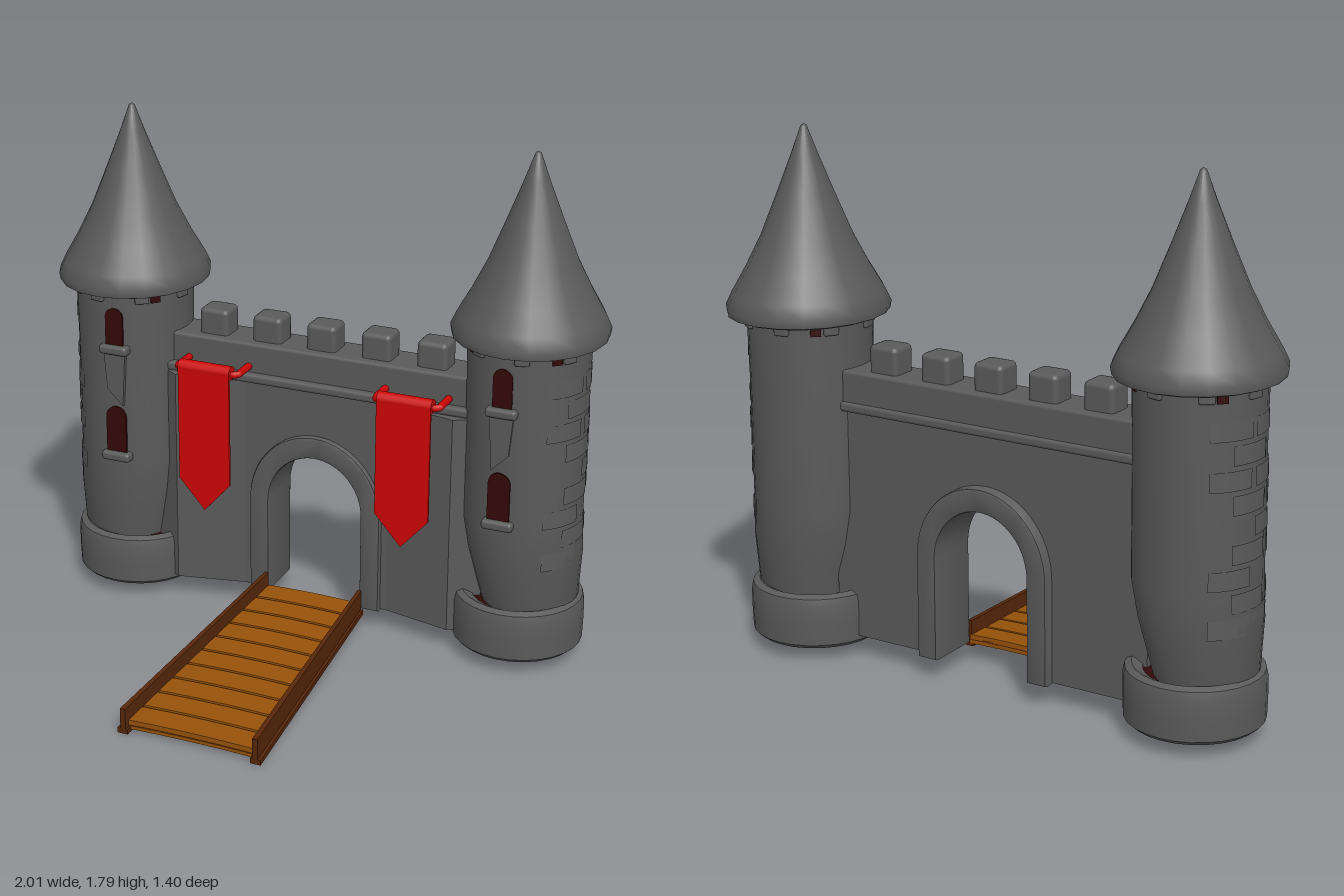
import * as THREE from 'three';
import { toCreasedNormals } from 'three/addons/utils/BufferGeometryUtils.js';
import { RoundedBoxGeometry } from 'three/addons/geometries/RoundedBoxGeometry.js';

const material = (name, color, side = THREE.FrontSide) => {
  const m = new THREE.MeshStandardMaterial({ color, side });
  m.name = name;
  return m;
};

export function createModel() {
  const stone = material('stone grey', 0x5a5a5a, THREE.DoubleSide);
  const red = material('banner red', 0xcc0606, THREE.DoubleSide);
  const wood = material('plank brown', 0x96520a);
  const darkWood = material('rail brown', 0x56260a);
  const dark = material('window maroon', 0x330808, THREE.DoubleSide);

  const castle = new THREE.Group();
  castle.name = 'castleGate';

  const add = (parent, name, geometry, mat, x = 0, y = 0, z = 0) => {
    const mesh = new THREE.Mesh(geometry, mat);
    mesh.name = name;
    mesh.position.set(x, y, z);
    parent.add(mesh);
    return mesh;
  };
  const block = (w, h, d, r = 0.012) => new RoundedBoxGeometry(w, h, d, 2, r);
  const lathe = (pts, n) =>
    toCreasedNormals(new THREE.LatheGeometry(pts.map(p => new THREE.Vector2(...p)), n), 0.7);
  const polygon = (pts, sx = 1) => new THREE.Shape(pts.map(p => new THREE.Vector2(p[0] * sx, p[1])));
  const extrude = (shape, depth, bevel = 0) => toCreasedNormals(new THREE.ExtrudeGeometry(shape, {
    depth, curveSegments: 16, bevelEnabled: bevel > 0,
    bevelSize: bevel, bevelThickness: bevel, bevelSegments: 2,
  }), 0.6);

  // ---- Towers ----
  for (const s of [-1, 1]) {
    const tower = new THREE.Group();
    tower.name = s < 0 ? 'rightTower' : 'leftTower';
    tower.position.set(s * 0.738, 0, -0.41);
    castle.add(tower);

    // Body narrows toward the base on its inner side, the outer side stays upright
    const body = lathe([
      [0.165, 0.2], [0.178, 0.28], [0.198, 0.4], [0.206, 0.52], [0.206, 0.95], [0.21, 1.2],
    ], 28);
    const pos = body.attributes.position;
    for (let i = 0; i < pos.count; i++)
      pos.setX(i, pos.getX(i) + s * 0.12 * Math.max(0, 0.52 - pos.getY(i)));
    add(tower, 'towerBody', body, stone);

    add(tower, 'towerBase', lathe([
      [0.165, 0.22], [0.165, 0.07], [0.18, 0.05], [0.21, 0.05], [0.226, 0.065],
      [0.228, 0.13], [0.228, 0.2], [0.222, 0.228], [0.2, 0.238], [0.165, 0.22],
    ], 28), stone, s * -0.002);
    add(tower, 'towerFloor', new THREE.CircleGeometry(0.168, 24).rotateX(Math.PI / 2), dark, 0, 0.21, 0);

    // Flared conical roof
    const roof = add(tower, 'towerRoof', lathe([
      [0, 1.185], [0.2, 1.18], [0.245, 1.168], [0.262, 1.175], [0.266, 1.2], [0.245, 1.245],
      [0.2, 1.325], [0.148, 1.43], [0.09, 1.575], [0.042, 1.7], [0.01, 1.79], [0, 1.797],
    ], 20), stone, 0, 0, -0.004);
    roof.scale.z = 1.08;

    // Corbels all round below the eave, with four dark slots between them
    for (let i = 0; i < 8; i++) {
      const a = s * (0.2 + i * Math.PI / 4);
      const corbel = add(tower, 'eaveCorbel', block(0.05, 0.05, 0.026, 0.006), stone,
        Math.sin(a) * 0.207, 1.158, Math.cos(a) * 0.207);
      corbel.rotation.y = a;
    }
    for (const a of [-0.82, 0.76, 2.33, -2.4]) {
      const slot = add(tower, 'eaveSlot', new THREE.BoxGeometry(0.035, 0.045, 0.008), dark,
        s * Math.sin(a) * 0.209, 1.155, Math.cos(a) * 0.209);
      slot.rotation.y = s * a;
    }

    // Slightly raised bricks on the outer side
    for (let row = 0; row < 9; row++) {
      for (let k = 0; k < 2; k++) {
        if ((row + k * 2) % 5 === 4) continue;
        const mid = s * Math.PI / 2 + (k - 0.5) * 0.8 + (row % 2 ? 0.18 : -0.18);
        add(tower, 'wallBrick', new THREE.CylinderGeometry(0.2095, 0.2105, 0.062, 8, 1, true,
          mid - 0.35, 0.7), stone, 0, 0.42 + row * 0.078, 0);
      }
    }

    // Arched windows with sills
    for (const [sill, height, half] of [[0.555, 0.175, 0.039], [0.96, 0.14, 0.034]]) {
      const pane = new THREE.Shape();
      pane.moveTo(-half, 0);
      pane.lineTo(half, 0);
      pane.lineTo(half, height - half);
      pane.absarc(0, height - half, half, 0, Math.PI);
      pane.closePath();
      add(tower, 'window', extrude(pane, 0.008), dark, s * -0.02, sill + 0.013, 0.202);
      add(tower, 'windowSill', block(0.11, 0.034, 0.045), stone, s * -0.02, sill, 0.207);
    }
    // Tapering bracket below the upper sill
    add(tower, 'windowBracket',
      extrude(polygon([[-0.042, 0.2], [0.042, 0.2], [0.03, 0.06], [-0.03, 0], [-0.036, 0.1]], s), 0.014),
      stone, s * -0.02, 0.75, 0.198);
  }

  // ---- Gate wall ----
  const wallShape = new THREE.Shape();
  wallShape.moveTo(-0.6, 0.08);
  wallShape.lineTo(-0.18, 0.08);
  wallShape.lineTo(-0.18, 0.43);
  wallShape.absellipse(0, 0.43, 0.18, 0.195, Math.PI, 0, true, 0);
  wallShape.lineTo(0.18, 0.08);
  wallShape.lineTo(0.6, 0.08);
  wallShape.lineTo(0.6, 0.9);
  wallShape.lineTo(-0.6, 0.9);
  wallShape.closePath();
  add(castle, 'gateWall', extrude(wallShape, 0.14), stone, 0, 0, -0.475);

  // Arch surround showing on both faces
  const surround = new THREE.Shape();
  surround.moveTo(-0.24, 0.085);
  surround.lineTo(-0.185, 0.085);
  surround.lineTo(-0.185, 0.43);
  surround.absellipse(0, 0.43, 0.185, 0.2, Math.PI, 0, true, 0);
  surround.lineTo(0.185, 0.085);
  surround.lineTo(0.24, 0.085);
  surround.lineTo(0.24, 0.43);
  surround.absellipse(0, 0.43, 0.24, 0.262, 0, Math.PI, false, 0);
  surround.closePath();
  add(castle, 'archSurround', extrude(surround, 0.185, 0.009), stone, 0, 0, -0.507);

  // Parapet, ledge and merlons
  add(castle, 'parapet', block(1.16, 0.13, 0.16), stone, 0, 0.945, -0.41);
  add(castle, 'wallLedge', block(1.16, 0.034, 0.195), stone, 0, 0.887, -0.403);
  for (let i = -2; i <= 2; i++)
    add(castle, 'merlon', block(0.11, 0.13, 0.1, 0.018), stone, i * 0.204, 1.037, -0.412);

  // Wall thickening toward the towers
  for (const s of [-1, 1])
    add(castle, 'wallFillet',
      extrude(polygon([[0.25, 0.34], [0.52, 0.28], [0.62, 0.34]], s), 0.79).rotateX(-Math.PI / 2),
      stone, 0, 0.08, 0);

  // ---- Banners ----
  for (const s of [-1, 1]) {
    const banner = new THREE.Group();
    banner.name = s < 0 ? 'rightBanner' : 'leftBanner';
    banner.position.set(s * 0.372, 0, -0.225);
    castle.add(banner);
    const cloth = polygon([[-0.098, 0.935], [-0.098, 0.515], [0, 0.405], [0.098, 0.515], [0.098, 0.935]]);
    add(banner, 'bannerCloth', extrude(cloth, 0.009), red, 0, 0, 0.015);
    add(banner, 'bannerRoll', new THREE.CylinderGeometry(0.025, 0.025, 0.196, 14).rotateZ(Math.PI / 2),
      red, 0, 0.932, 0);
    // Bent rod returning to the wall at both ends
    const rod = new THREE.CurvePath();
    const pts = [[-0.115, -0.12], [-0.115, -0.015], [-0.1, 0], [0.1, 0], [0.115, -0.015], [0.115, -0.12]]
      .map(p => new THREE.Vector3(p[0], 0.925, p[1]));
    for (let i = 0; i < 5; i++) rod.add(new THREE.LineCurve3(pts[i], pts[i + 1]));
    add(banner, 'bannerRod', new THREE.TubeGeometry(rod, 60, 0.013, 8), red);
  }

  // ---- Drawbridge ----
  const bridge = new THREE.Group();
  bridge.name = 'drawbridge';
  castle.add(bridge);
  // Box between fractions of the half width, following the slope and widening forward
  const bridgePart = (name, mat, x0, x1, y0, y1, z0, z1, crown = 0) => {
    const g = new THREE.BoxGeometry(1, 1, 1, 8, 1, 1);
    const p = g.attributes.position;
    for (let i = 0; i < p.count; i++) {
      const z = THREE.MathUtils.lerp(z0, z1, p.getZ(i) + 0.5);
      const t = (z + 0.31) / 1.01;
      const fx = THREE.MathUtils.lerp(x0, x1, p.getX(i) + 0.5);
      const y = THREE.MathUtils.lerp(y0, y1, p.getY(i) + 0.5);
      p.setXYZ(i, fx * (0.19 + 0.06 * t), y + 0.065 - 0.055 * t + crown * (1 - fx * fx), z);
    }
    g.computeVertexNormals();
    add(bridge, name, g, mat);
  };
  bridgePart('deckUnderside', wood, -0.95, 0.95, 0.002, 0.014, -0.31, 0.68, 0.005);
  bridgePart('deckGaps', darkWood, -0.92, 0.92, 0.014, 0.022, -0.31, 0.678, 0.005);
  for (let i = 0; i < 10; i++) {
    const z = -0.315 + i * 0.1;
    bridgePart('plank', wood, -0.92, 0.92, 0.018, 0.034, z + 0.005, z + 0.094, 0.005);
  }
  for (const s of [-1, 1]) {
    const span = (a, b) => (s < 0 ? [-b, -a] : [a, b]);
    bridgePart('bridgeRail', darkWood, ...span(0.91, 0.985), 0, 0.085, -0.31, 0.7);
    bridgePart('railFoot', darkWood, ...span(0.88, 1.03), -0.006, 0.012, -0.31, 0.7);
  }

  return castle;
}
